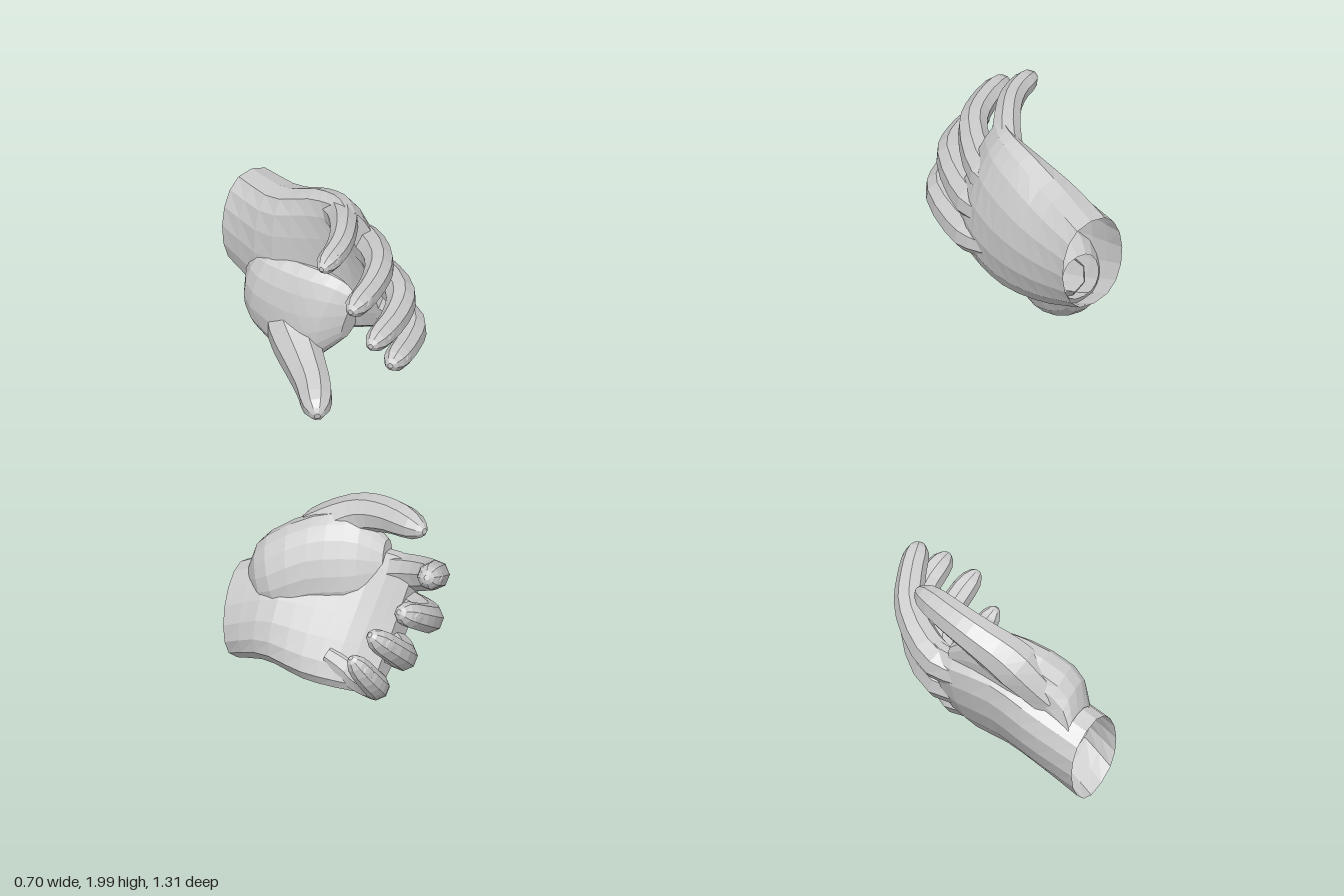
import * as THREE from 'three';

const V = (a) => new THREE.Vector3(...a);
const skin = new THREE.MeshStandardMaterial({ color: 0xcccccc, flatShading: true, side: THREE.DoubleSide });

// Skin over a list of rings, open at the start and closed by a fan at the end
function loft(rings) {
  const n = rings[0].length, last = rings.length - 1, pts = rings.flat(), idx = [];
  const centre = (r) => r.reduce((s, p) => s.add(p), new THREE.Vector3()).divideScalar(n);
  pts.push(centre(rings[last]));
  for (let j = 0; j < n; j++) {
    const k = (j + 1) % n;
    for (let i = 0; i < last; i++) {
      const a = i * n + j, b = i * n + k;
      idx.push(a, b, b + n, a, b + n, a + n);
    }
    idx.push(pts.length - 1, last * n + j, last * n + k);
  }
  // Turn the faces round if the enclosed volume is negative
  let volume = 0;
  const start = centre(rings[0]), q = (i) => pts[i].clone().sub(start);
  for (let i = 0; i < idx.length; i += 3) volume += q(idx[i]).dot(q(idx[i + 1]).cross(q(idx[i + 2])));
  if (volume < 0) idx.reverse();
  const g = new THREE.BufferGeometry().setFromPoints(pts);
  g.setIndex(idx);
  g.computeVertexNormals();
  return g;
}

function add(parent, name, geometry) {
  const m = new THREE.Mesh(geometry, skin);
  m.name = name;
  parent.add(m);
  return m;
}

// Slab of flesh: sections [little-finger edge, thumb edge, half thickness, knuckle arch]
function slab(sections, back) {
  const N = 16, tracks = [];
  for (let k = 0; k < N; k++) {
    const a = (k / N) * Math.PI * 2, c = Math.cos(a), s = Math.sin(a);
    tracks.push(new THREE.CatmullRomCurve3(sections.map(([p, i, t, bow]) => {
      const P = V(p), I = V(i), half = I.clone().sub(P).multiplyScalar(0.5);
      const w = half.clone().normalize();
      const n = back.clone().addScaledVector(w, -back.dot(w)).normalize();
      return P.add(I).multiplyScalar(0.5).addScaledVector(half, c)
        .addScaledVector(n, Math.sign(s) * Math.abs(s) ** 0.8 * t + bow * s * s);
    })));
  }
  const rings = [];
  for (let i = 0; i <= 10; i++) rings.push(tracks.map((c) => c.getPoint(i / 10)));
  return loft(rings);
}

// Finger: a tapering tube through its joints, rounded off at the tip
function finger(parent, name, joints, radii, width, back, isThumb) {
  const curve = new THREE.CatmullRomCurve3(joints.map(V), false, 'centripetal');
  const segs = joints.length - 1, rTip = radii[segs], N = 8;
  const t0 = 1 - (rTip * 0.9) / curve.getLength() * segs / 2;
  const steps = [];
  for (let i = 0; i <= 11; i++) steps.push([(t0 * i) / 11, 1]);
  for (const [e, f] of [[0.5, 0.87], [0.85, 0.55], [1, 0.22]]) steps.push([t0 + (1 - t0) * e, f]);
  // The back of the finger is chosen at its root, so the tube never twists
  const turn = Math.sign(curve.getTangent(0).cross(width).dot(back));
  const frame = (t) => {
    const T = curve.getTangent(t);
    const u = width.clone().addScaledVector(T, -width.dot(T)).normalize();
    const v = T.clone().cross(u).multiplyScalar(turn);
    return { T, u, v, p: curve.getPoint(t) };
  };
  const rings = steps.map(([t, f]) => {
    const { u, v, p } = frame(t), k = Math.min(Math.floor(t * segs), segs - 1);
    const r = THREE.MathUtils.lerp(radii[k], radii[k + 1], t * segs - k) * f;
    return Array.from({ length: N }, (_, j) => {
      const a = ((j + 0.5) / N) * Math.PI * 2;
      return p.clone().addScaledVector(u, Math.cos(a) * r).addScaledVector(v, Math.sin(a) * r);
    });
  });
  add(parent, name, loft(rings));
  // Nail lying on the back of the tip
  const { T, u, v, p } = frame(t0);
  const out = isThumb ? u : v, side = out.clone().cross(T);
  const nail = add(parent, name + 'Nail', new THREE.SphereGeometry(rTip, 8, 4));
  nail.scale.set(0.6, 0.2, 0.75);
  nail.quaternion.setFromRotationMatrix(new THREE.Matrix4().makeBasis(side, out, T));
  nail.position.copy(p).addScaledVector(out, rTip * 0.83).addScaledVector(T, -rTip * 0.1);
}

const RADII = {
  thumb: [0.06, 0.078, 0.063, 0.056, 0.045],
  indexFinger: [0.04, 0.06, 0.048, 0.044, 0.039],
  middleFinger: [0.04, 0.06, 0.048, 0.044, 0.039],
  ringFinger: [0.04, 0.058, 0.046, 0.042, 0.038],
  littleFinger: [0.035, 0.052, 0.042, 0.039, 0.035],
};

// Upper hand, thumb down
const RIGHT = {
  name: 'rightHand', back: [0.8, 0, -0.6], width: [0.1, -1, 0],
  palm: [
    [[-0.25, 1.885, -0.22], [-0.26, 1.57, -0.19], 0.116, 0],
    [[-0.16, 1.91, -0.05], [-0.15, 1.5, -0.06], 0.117, 0.018],
    [[-0.075, 1.96, 0.05], [-0.02, 1.48, 0.06], 0.088, 0.03],
    [[-0.015, 1.98, 0.14], [0.07, 1.52, 0.14], 0.066, 0.033],
    [[0.01, 1.975, 0.23], [0.14, 1.57, 0.235], 0.042, 0.025],
  ],
  thumbPad: [
    [[-0.21, 1.7, -0.13], [-0.23, 1.56, -0.13], 0.07, 0],
    [[-0.18, 1.72, -0.04], [-0.235, 1.46, -0.055], 0.095, 0],
    [[-0.08, 1.72, 0.06], [-0.145, 1.395, 0.06], 0.085, 0],
    [[0.01, 1.7, 0.13], [-0.09, 1.42, 0.14], 0.06, 0],
    [[0.06, 1.66, 0.17], [0, 1.5, 0.17], 0.03, 0],
  ],
  digits: {
    thumb: [[-0.18, 1.59, -0.05], [-0.15, 1.475, 0.08], [-0.115, 1.42, 0.22], [-0.1, 1.4, 0.31], [-0.1, 1.375, 0.425]],
    indexFinger: [[0.03, 1.63, 0.05], [0.11, 1.62, 0.15], [0.193, 1.64, 0.35], [0.168, 1.64, 0.47], [0.11, 1.643, 0.6]],
    middleFinger: [[0.02, 1.73, 0.05], [0.1, 1.73, 0.16], [0.16, 1.755, 0.37], [0.13, 1.75, 0.5], [0.045, 1.745, 0.655]],
    ringFinger: [[-0.01, 1.82, 0.05], [0.06, 1.83, 0.15], [0.095, 1.865, 0.36], [0.06, 1.865, 0.5], [-0.015, 1.86, 0.64]],
    littleFinger: [[-0.07, 1.9, 0.02], [-0.01, 1.915, 0.12], [-0.01, 1.952, 0.3], [-0.035, 1.955, 0.41], [-0.095, 1.948, 0.525]],
  },
};

// Lower hand, thumb up
const LEFT = {
  name: 'leftHand', back: [0.5, -0.6, -0.62], width: [0.37, 0.7, -0.45],
  palm: [
    [[-0.275, 0.02, -0.475], [-0.225, 0.29, -0.61], 0.122, 0],
    [[-0.19, 0.07, -0.36], [-0.08, 0.365, -0.53], 0.117, 0.018],
    [[-0.09, 0.065, -0.25], [0.05, 0.42, -0.46], 0.088, 0.03],
    [[0.02, 0.07, -0.17], [0.2, 0.435, -0.375], 0.066, 0.033],
    [[0.11, 0.095, -0.09], [0.27, 0.45, -0.27], 0.042, 0.025],
  ],
  thumbPad: [
    [[-0.21, 0.2, -0.53], [-0.2, 0.33, -0.57], 0.07, 0],
    [[-0.15, 0.2, -0.44], [-0.185, 0.415, -0.53], 0.095, 0],
    [[-0.035, 0.25, -0.38], [-0.025, 0.52, -0.48], 0.085, 0],
    [[0.08, 0.28, -0.33], [0.1, 0.54, -0.43], 0.06, 0],
    [[0.17, 0.34, -0.33], [0.18, 0.47, -0.38], 0.03, 0],
  ],
  digits: {
    thumb: [[-0.12, 0.35, -0.51], [-0.01, 0.455, -0.48], [0.1, 0.53, -0.44], [0.18, 0.56, -0.37], [0.28, 0.575, -0.235]],
    indexFinger: [[0.1, 0.35, -0.4], [0.22, 0.38, -0.33], [0.3, 0.46, -0.17], [0.293, 0.52, -0.06], [0.265, 0.57, 0.04]],
    middleFinger: [[0.08, 0.27, -0.35], [0.21, 0.285, -0.29], [0.28, 0.35, -0.1], [0.25, 0.42, 0.02], [0.175, 0.49, 0.105]],
    ringFinger: [[0.05, 0.2, -0.3], [0.16, 0.19, -0.23], [0.2, 0.24, -0.06], [0.17, 0.32, 0.05], [0.085, 0.42, 0.115]],
    littleFinger: [[-0.01, 0.15, -0.24], [0.08, 0.115, -0.16], [0.115, 0.16, -0.02], [0.09, 0.22, 0.04], [0.03, 0.315, 0.07]],
  },
};

function hand(d) {
  const g = new THREE.Group(), back = V(d.back).normalize(), width = V(d.width).normalize();
  g.name = d.name;
  add(g, 'palm', slab(d.palm, back));
  add(g, 'thumbPad', slab(d.thumbPad, back));
  for (const [name, joints] of Object.entries(d.digits))
    finger(g, name, joints, RADII[name], width, back, name === 'thumb');
  return g;
}

export function createModel() {
  const model = new THREE.Group();
  model.name = 'pairOfHands';
  model.add(hand(RIGHT), hand(LEFT));
  return model;
}
